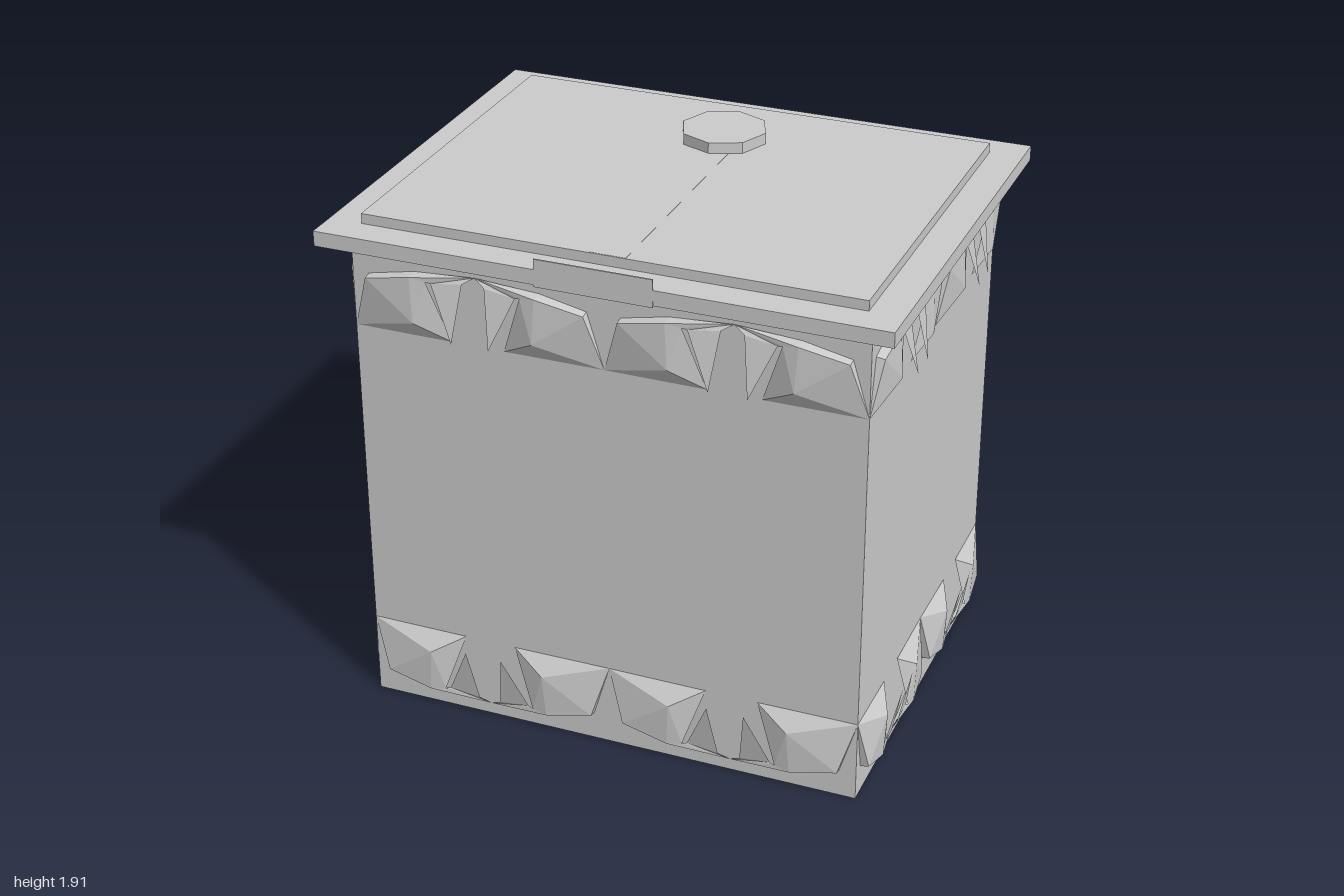
import * as THREE from 'three';

const HALF_X = 0.905, HALF_Z = 0.705, BAND_MIRROR = 1.775;
const grey = new THREE.MeshStandardMaterial({ color: 0xcccccc, flatShading: true });
const leafGrey = new THREE.MeshStandardMaterial({ color: 0xcccccc, flatShading: true, side: THREE.DoubleSide });

function box(name, w, y0, y1, d, z = 0) {
  const mesh = new THREE.Mesh(new THREE.BoxGeometry(w, y1 - y0, d), grey);
  mesh.name = name;
  mesh.position.set(0, (y0 + y1) / 2, z);
  return mesh;
}

// Half of a faceted leaf fan: u from the fan's centre, height, depth off the wall
function halfFanGeometry() {
  const p = {
    base: [0, 0.05, 0.01],
    corner: [0.4525, 0.305, 0],
    tip: [0.094, 0.305, 0.002],
    ridge: [0.215, 0.237, 0.048],
    foot: [0.17, 0.085, 0.032],
    low: [0.225, 0.075, 0.04],
    lowOuter: [0.393, 0.11, 0.03],
    lowWall: [0.225, 0.07, 0],
    outerWall: [0.393, 0.105, 0],
    toothTip: [0.067, 0.28, 0.066],
    toothOut: [0.152, 0.09, 0.028],
    toothIn: [0.04, 0.075, 0.024],
  };
  const faces = [
    // large outer leaf
    ['corner', 'ridge', 'tip'], ['tip', 'ridge', 'foot'],
    ['corner', 'lowOuter', 'ridge'], ['lowOuter', 'low', 'ridge'], ['ridge', 'low', 'foot'],
    // lower rim back to the wall
    ['corner', 'outerWall', 'lowOuter'], ['outerWall', 'lowWall', 'low'],
    ['outerWall', 'low', 'lowOuter'], ['lowWall', 'base', 'low'],
    // join to the base, then the flared inner tooth
    ['low', 'base', 'foot'], ['foot', 'base', 'toothOut'], ['toothOut', 'base', 'toothIn'],
    ['toothOut', 'toothIn', 'toothTip'],
  ];
  const geometry = new THREE.BufferGeometry();
  const positions = faces.flat().flatMap((key) => p[key]);
  geometry.setAttribute('position', new THREE.Float32BufferAttribute(positions, 3));
  geometry.computeVertexNormals();
  return geometry;
}

// Two mirrored fans along the bottom of one wall, and the same upside down at the top
function wallOrnament(geometry, halfWidth) {
  const wall = new THREE.Group();
  for (const top of [false, true]) {
    const band = new THREE.Group();
    band.name = top ? 'upperLeafBand' : 'lowerLeafBand';
    for (const centre of [-halfWidth / 2, halfWidth / 2]) {
      for (const side of [-1, 1]) {
        const half = new THREE.Mesh(geometry, leafGrey);
        half.name = 'leafFanHalf';
        half.position.x = centre;
        half.scale.x = side * halfWidth / HALF_X;
        band.add(half);
      }
    }
    if (top) {
      band.scale.y = -1;
      band.position.y = BAND_MIRROR;
    }
    wall.add(band);
  }
  return wall;
}

export function createModel() {
  const model = new THREE.Group();
  model.name = 'lidded box';

  // Body and stepped lid
  model.add(box('body', HALF_X * 2, 0, 1.78, HALF_Z * 2));
  model.add(box('lidRim', 2, 1.776, 1.83, 1.57));
  model.add(box('lidPanel', 1.76, 1.83, 1.866, 1.345));
  model.add(box('lidStrip', 0.13, 1.86, 1.867, 1.04, 0.15));
  model.add(box('frontPlate', 0.41, 1.77, 1.868, 0.006, 0.785));

  // Eight-sided knob towards the back
  const knob = new THREE.Mesh(new THREE.CylinderGeometry(0.155, 0.155, 0.042, 8), grey);
  knob.name = 'knob';
  knob.position.set(0, 1.885, -0.375);
  model.add(knob);

  // Leaf bands on all four walls
  const fan = halfFanGeometry();
  const names = ['frontOrnament', 'leftOrnament', 'backOrnament', 'rightOrnament'];
  names.forEach((name, i) => {
    const alongX = i % 2 === 0;
    const wall = wallOrnament(fan, alongX ? HALF_X : HALF_Z);
    wall.name = name;
    wall.rotation.y = i * Math.PI / 2;
    wall.translateZ(alongX ? HALF_Z : HALF_X);
    model.add(wall);
  });

  return model;
}
